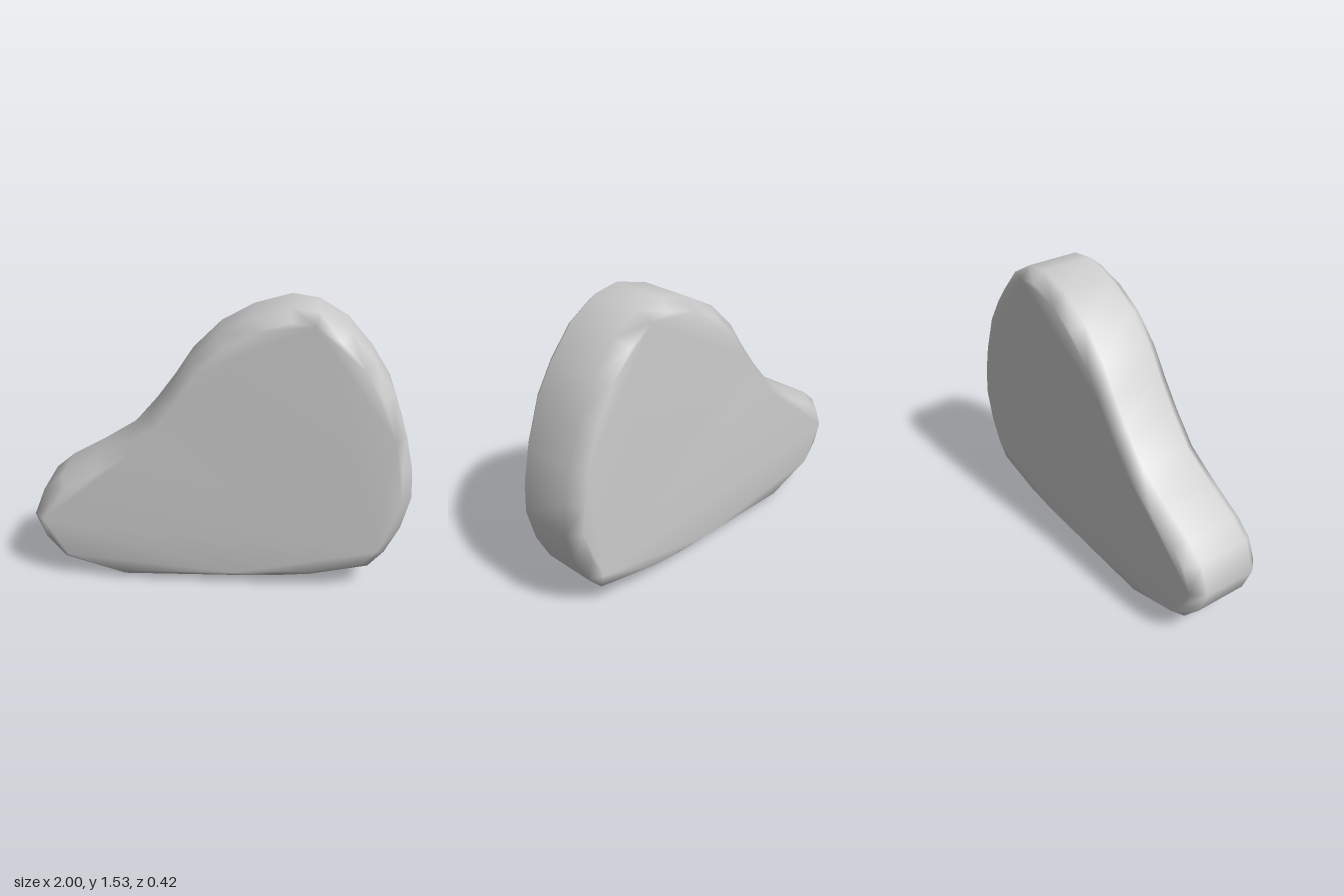
import * as THREE from 'three';
import { mergeVertices } from 'three/addons/utils/BufferGeometryUtils.js';

// Outline of the slab, counter-clockwise from the narrow tip
const OUTLINE = [
  [-1, 0.35], [-0.945, 0.21], [-0.845, 0.095], [-0.52, 0], [0.08, 0.02], [0.29, 0.03],
  [0.49, 0.05], [0.8, 0.12], [0.88, 0.21], [0.955, 0.36], [1, 0.54], [0.99, 0.7],
  [0.95, 0.88], [0.87, 1.11], [0.77, 1.27], [0.64, 1.42], [0.49, 1.51], [0.35, 1.53],
  [0.16, 1.475], [-0.01, 1.38], [-0.16, 1.23], [-0.25, 1.09], [-0.36, 0.94],
  [-0.48, 0.8], [-0.67, 0.68], [-0.84, 0.585], [-0.94, 0.5],
];

const HALF_DEPTH = 0.208;
const BEVEL_DEPTH = 0.065;
const BEVEL_INSET = 0.055;

export function createModel() {
  const group = new THREE.Group();
  group.name = 'roundedSlab';

  // Slab with one chamfer along the front and back rims
  const shape = new THREE.Shape(OUTLINE.map(([x, y]) => new THREE.Vector2(x, y)));
  const depth = 2 * (HALF_DEPTH - BEVEL_DEPTH);
  let geometry = new THREE.ExtrudeGeometry(shape, {
    depth,
    bevelEnabled: true,
    bevelSegments: 1,
    bevelThickness: BEVEL_DEPTH,
    bevelSize: BEVEL_INSET,
    bevelOffset: -BEVEL_INSET,
  });
  geometry.translate(0, 0, -depth / 2);

  // Weld the corners so the whole surface shades smoothly
  geometry.deleteAttribute('normal');
  geometry.deleteAttribute('uv');
  geometry.clearGroups();
  geometry = mergeVertices(geometry, 1e-4);
  geometry.computeVertexNormals();

  const body = new THREE.Mesh(geometry, new THREE.MeshStandardMaterial({ color: 0xcccccc }));
  body.name = 'body';
  group.add(body);
  return group;
}
